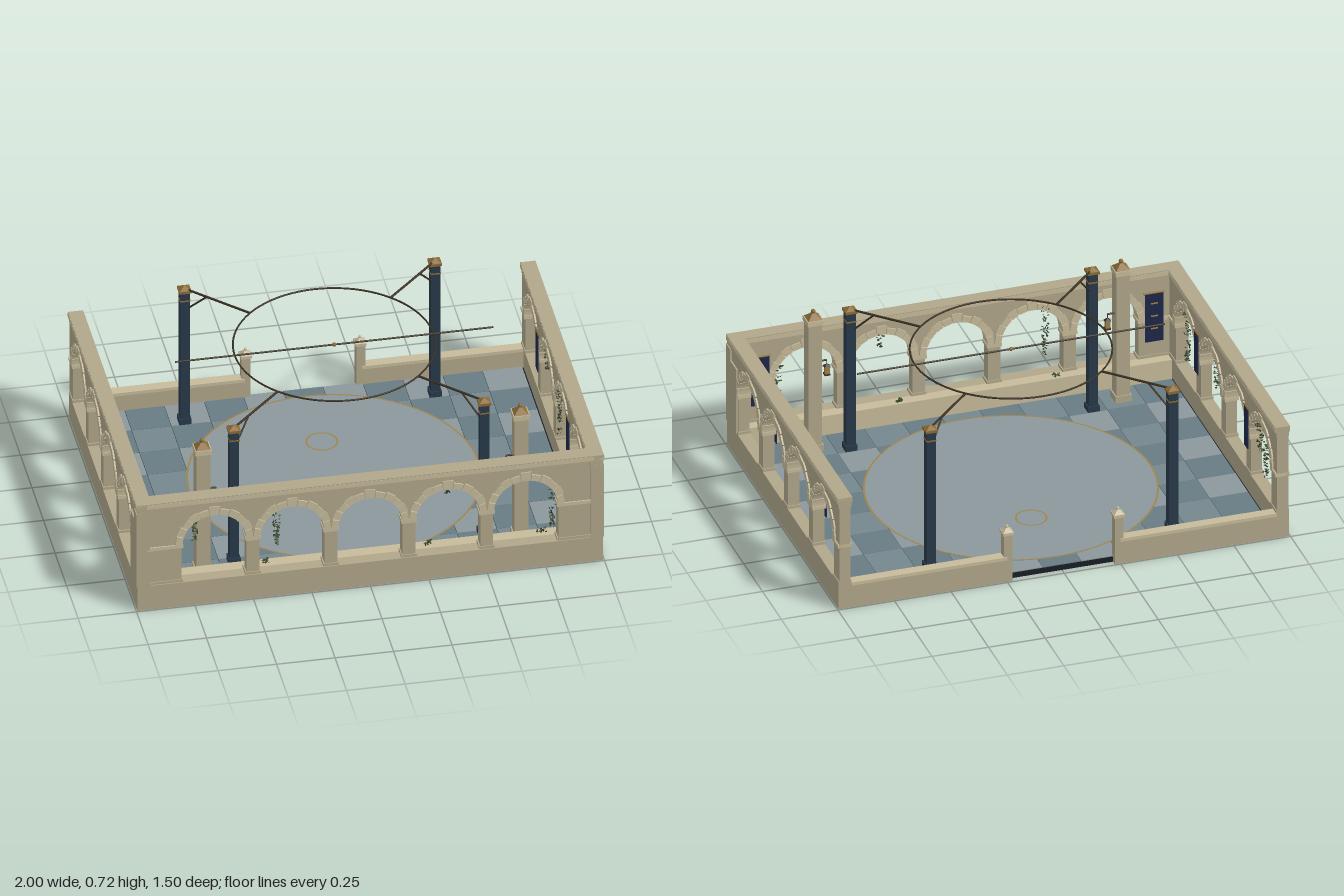
import * as THREE from 'three';
import { mergeGeometries } from 'three/addons/utils/BufferGeometryUtils.js';

const mat = (color, side = THREE.FrontSide) => {
  const m = new THREE.MeshStandardMaterial({ side });
  m.color.setHex(color);
  return m;
};
const STONE = mat(0xb0a68a), LIGHT = mat(0xc6bb9b), BRONZE = mat(0x8a6a35), IRON = mat(0x3a3022);
const NAVY = mat(0x28394a), SLAB = mat(0x1a1d26), GOLD = mat(0xa08248), PALE = mat(0x8b979b);
const TILES = [PALE, mat(0x687b83), mat(0x74868d)];
const BANNER = mat(0x1e2748, THREE.DoubleSide), LEAF = mat(0x36452c, THREE.DoubleSide);

const add = (parent, name, geometry, material, x = 0, y = 0, z = 0) => {
  const mesh = new THREE.Mesh(geometry, material);
  mesh.name = name;
  mesh.position.set(x, y, z);
  parent.add(mesh);
  return mesh;
};
// Box between two corners
const box = (parent, name, material, x0, x1, y0, y1, z0, z1) =>
  add(parent, name, new THREE.BoxGeometry(x1 - x0, y1 - y0, z1 - z0), material,
    (x0 + x1) / 2, (y0 + y1) / 2, (z0 + z1) / 2);
// Square block centred on x, z
const block = (parent, name, material, w, x, y0, y1, z) =>
  box(parent, name, material, x - w / 2, x + w / 2, y0, y1, z - w / 2, z + w / 2);
const pyramid = (parent, name, material, w, h, x, y, z) => {
  const g = new THREE.ConeGeometry(w * Math.SQRT1_2, h, 4).toNonIndexed();
  g.rotateY(Math.PI / 4);
  g.computeVertexNormals();
  return add(parent, name, g, material, x, y + h / 2, z);
};
const rod = (parent, name, material, a, b, r) => {
  const p = new THREE.Vector3(...a), q = new THREE.Vector3(...b), d = q.clone().sub(p);
  const mesh = add(parent, name, new THREE.CylinderGeometry(r, r, d.length(), 8), material);
  mesh.position.copy(p).add(q).multiplyScalar(0.5);
  mesh.quaternion.setFromUnitVectors(new THREE.Vector3(0, 1, 0), d.normalize());
  return mesh;
};
const floorRing = (parent, name, r, z) => {
  const ring = add(parent, name, new THREE.RingGeometry(r - 0.004, r + 0.004, 72), GOLD, 0, 0.0325, z);
  ring.rotation.x = -Math.PI / 2;
};

let seed = 7;
const rand = () => (seed = (seed * 16807) % 2147483647) / 2147483647;

const R = 0.139, PITCH = 0.333, SPRING = 0.305, BASE = 0.12, TOP = 0.485, THICK = 0.05;

// Arched wall running along local x, centred on local z = 0
function arcade(name, u0, u1, first, count) {
  const g = new THREE.Group();
  g.name = name;
  const centres = Array.from({ length: count }, (_, i) => first + i * PITCH);
  const shape = new THREE.Shape();
  shape.moveTo(u0, BASE);
  for (const c of centres) {
    shape.lineTo(c - R, BASE);
    shape.lineTo(c - R, SPRING);
    shape.absarc(c, SPRING, R, Math.PI, 0, true);
    shape.lineTo(c + R, BASE);
  }
  shape.lineTo(u1, BASE);
  shape.lineTo(u1, TOP);
  shape.lineTo(u0, TOP);
  const wall = new THREE.ExtrudeGeometry(shape, { depth: THICK, bevelEnabled: false, curveSegments: 20 });
  add(g, 'archWall', wall, STONE, 0, 0, -THICK / 2);

  // Voussoirs, with a taller keystone
  const n = 11, step = Math.PI / n;
  for (const c of centres) for (let i = 0; i < n; i++) {
    const a0 = i * step + 0.012, a1 = (i + 1) * step - 0.012;
    const ro = i === 5 ? R + 0.04 : R + (i % 2 ? 0.031 : 0.026);
    const s = new THREE.Shape();
    s.absarc(0, 0, ro, a0, a1, false);
    s.absarc(0, 0, R - 0.003, a1, a0, true);
    const depth = THICK + 0.014;
    add(g, 'voussoir', new THREE.ExtrudeGeometry(s, { depth, bevelEnabled: false, curveSegments: 3 }),
      LIGHT, c, SPRING, -depth / 2);
  }
  // Impost and foot mouldings on every pier
  const edges = [u0, ...centres.flatMap(c => [c - R, c + R]), u1];
  for (let i = 0; i < edges.length; i += 2) {
    const a = edges[i] - (i ? 0.006 : 0), b = edges[i + 1] + (i + 2 < edges.length ? 0.006 : 0);
    box(g, 'impost', LIGHT, a, b, 0.292, 0.308, -THICK / 2 - 0.006, THICK / 2 + 0.006);
    box(g, 'pierFoot', STONE, a, b, BASE, 0.132, -THICK / 2 - 0.004, THICK / 2 + 0.004);
  }
  // Cornice and coping
  box(g, 'cornice', STONE, u0, u1, TOP - 0.003, 0.503, -0.028, 0.028);
  box(g, 'coping', STONE, u0, u1, 0.503, 0.53, -0.0325, 0.0325);
  box(g, 'copingBand', LIGHT, u0, u1, 0.506, 0.526, -0.0335, 0.0335);
  return g;
}

// Hanging vine made of little leaves; spread along x and z, top to bottom in y
function vine(parent, x, z, top, bottom, sx, sz) {
  const leaves = [];
  const n = Math.max(18, Math.round((top - bottom) * 320));
  for (let i = 0; i < n; i++) {
    const t = rand(), w = 1.1 - t * 0.6;
    const leaf = new THREE.CircleGeometry(0.0045 + rand() * 0.003, 4);
    leaf.rotateX(rand() * 3).rotateY(rand() * 6);
    leaf.translate(x + (rand() - 0.5) * sx * w, top - t * (top - bottom), z + (rand() - 0.5) * sz * w);
    leaves.push(leaf);
  }
  add(parent, 'ivy', mergeGeometries(leaves), LEAF);
}

export function createModel() {
  const root = new THREE.Group();
  root.name = 'arcadedCourtyard';

  // Floor slab and tiles
  box(root, 'floorSlab', SLAB, -0.945, 0.945, 0, 0.025, -0.72, 0.7);
  for (let i = 0; i < 11; i++) for (let j = 0; j < 8; j++) {
    const tone = (i + j) % 2 ? 1 : i % 2 ? 2 : 0;
    const x = -0.935 + i * 0.17, z = -0.72 + j * 0.17;
    box(root, 'floorTile', TILES[tone], x + 0.001, x + 0.169, 0.02, 0.029, z + 0.001, z + 0.169);
  }
  add(root, 'floorDisc', new THREE.CylinderGeometry(0.617, 0.617, 0.012, 72), PALE, 0, 0.026, -0.04);
  floorRing(root, 'outerInlay', 0.617, -0.04);
  floorRing(root, 'smallInlay', 0.065, -0.31);

  // Parapet all round, open in the middle of the back
  box(root, 'frontParapet', STONE, -0.995, 0.995, 0, BASE, 0.69, 0.745);
  box(root, 'frontLedge', LIGHT, -0.935, 0.935, 0.02, BASE, 0.637, 0.69);
  for (const s of [-1, 1]) {
    const span = (name, m, a, b, ...r) => box(root, name, m, Math.min(s * a, s * b), Math.max(s * a, s * b), ...r);
    span('sideParapet', STONE, 0.94, 0.995, 0, BASE, -0.745, 0.69);
    span('backParapet', STONE, 0.25, 0.94, 0, 0.105, -0.745, -0.705);
    span('backParapetCoping', LIGHT, 0.25, 0.94, 0.105, BASE, -0.748, -0.702);

    // Corner pilasters
    span('cornerPilaster', STONE, 0.955, 0.999, BASE, TOP, 0.69, 0.746);
    span('sidePilaster', STONE, 0.99, 0.999, BASE, 0.43, 0.61, 0.69);

    // Gate post
    block(root, 'gatePost', STONE, 0.038, s * 0.245, 0, 0.225, -0.725);
    block(root, 'gatePostCap', LIGHT, 0.048, s * 0.245, 0.222, 0.235, -0.725);
    pyramid(root, 'gatePostRoof', LIGHT, 0.044, 0.02, s * 0.245, 0.235, -0.725);
    add(root, 'gatePostBall', new THREE.SphereGeometry(0.007, 10, 8), LIGHT, s * 0.245, 0.257, -0.725);

    // Tall stone pillar with finial
    const px = s * 0.68, pz = 0.545;
    block(root, 'pillarFoot', STONE, 0.072, px, 0.02, 0.06, pz);
    block(root, 'pillar', STONE, 0.06, px, 0.02, 0.64, pz);
    block(root, 'pillarCap', LIGHT, 0.07, px, 0.635, 0.658, pz);
    pyramid(root, 'pillarRoof', BRONZE, 0.062, 0.03, px, 0.658, pz);
    add(root, 'pillarBall', new THREE.SphereGeometry(0.01, 12, 8), BRONZE, px, 0.69, pz);

    // Lantern on a bracket
    const lx = s * 0.62;
    rod(root, 'lanternBracket', IRON, [px, 0.445, pz], [lx, 0.445, pz], 0.004);
    rod(root, 'lanternHook', IRON, [lx, 0.445, pz], [lx, 0.42, pz], 0.002);
    block(root, 'lanternGlass', GOLD, 0.02, lx, 0.38, 0.415, pz);
    block(root, 'lanternBase', IRON, 0.025, lx, 0.374, 0.381, pz);
    pyramid(root, 'lanternRoof', IRON, 0.028, 0.014, lx, 0.414, pz);

    // Banners on the inside of the walls
    box(root, 'cornerBanner', BANNER, s * 0.87 - 0.04, s * 0.87 + 0.04, 0.2, 0.43, 0.676, 0.68);
    rod(root, 'bannerRod', BRONZE, [s * 0.87 - 0.045, 0.432, 0.678], [s * 0.87 + 0.045, 0.432, 0.678], 0.004);
    for (const y of [0.26, 0.32, 0.38]) box(root, 'bannerTrim', GOLD, s * 0.87 - 0.015, s * 0.87 + 0.015, y, y + 0.006, 0.674, 0.677);
    for (const z of [0.3, -0.365]) {
      box(root, 'pierBanner', BANNER, s * 0.931 - 0.002, s * 0.931 + 0.002, 0.24, 0.43, z - 0.025, z + 0.025);
      rod(root, 'bannerRod', BRONZE, [s * 0.931, 0.432, z - 0.03], [s * 0.931, 0.432, z + 0.03], 0.004);
    }

    // Dark posts with arms reaching in to the overhead ring
    for (const z of [0.495, -0.575]) {
      const x = s * 0.535, d = Math.sign(z), cz = z - d * 0.535;
      block(root, 'postFoot', NAVY, 0.052, x, 0.02, 0.055, z);
      block(root, 'post', NAVY, 0.04, x, 0.02, 0.69, z);
      block(root, 'postBand', BRONZE, 0.044, x, 0.645, 0.651, z);
      block(root, 'postCap', BRONZE, 0.052, x, 0.688, 0.7, z);
      pyramid(root, 'postRoof', BRONZE, 0.046, 0.016, x, 0.7, z);
      rod(root, 'arm', IRON, [x, 0.7, z], [s * 0.3, 0.7, cz + d * 0.3], 0.005);
      rod(root, 'brace', IRON, [x - s * 0.015, 0.61, z - d * 0.015], [x - s * 0.08, 0.7, z - d * 0.08], 0.004);
    }
  }

  // Overhead ring and cross rod
  const ring = add(root, 'overheadRing', new THREE.TorusGeometry(0.425, 0.004, 6, 80), IRON, 0, 0.7, -0.04);
  ring.rotation.x = Math.PI / 2;
  rod(root, 'crossRod', IRON, [-0.68, 0.7, -0.04], [0.68, 0.7, -0.04], 0.004);
  add(root, 'crossRodKnob', new THREE.SphereGeometry(0.009, 12, 8), BRONZE, 0, 0.7, -0.04);

  // Arcades: five arches in front, four on each side
  const front = arcade('frontArcade', -0.955, 0.955, -2 * PITCH, 5);
  front.position.z = 0.712;
  root.add(front);
  for (const s of [-1, 1]) {
    const side = arcade(s > 0 ? 'leftArcade' : 'rightArcade', -0.745, 0.745, -0.465, 4);
    side.rotation.y = Math.PI / 2;
    side.position.x = s * 0.9665;
    root.add(side);
  }

  // Ivy: x, top, bottom on the front; side, z, top, bottom on the sides
  for (const [x, t, b] of [[-0.74, 0.45, 0.28], [-0.39, 0.45, 0.22], [0.34, 0.45, 0.38], [0.79, 0.38, 0.15]])
    vine(root, x, 0.685, t, b, 0.035, 0.03);
  for (const [s, z, t, b] of [[-1, 0.47, 0.45, 0.2], [-1, 0.08, 0.45, 0.28], [1, 0.02, 0.4, 0.17],
    [1, -0.23, 0.45, 0.32], [-1, -0.49, 0.45, 0.27], [-1, -0.57, 0.42, 0.2]])
    vine(root, s * 0.95, z, t, b, 0.03, 0.035);
  for (const x of [-0.43, 0.26, 0.75]) vine(root, x, 0.66, 0.13, 0.121, 0.04, 0.035);
  return root;
}
